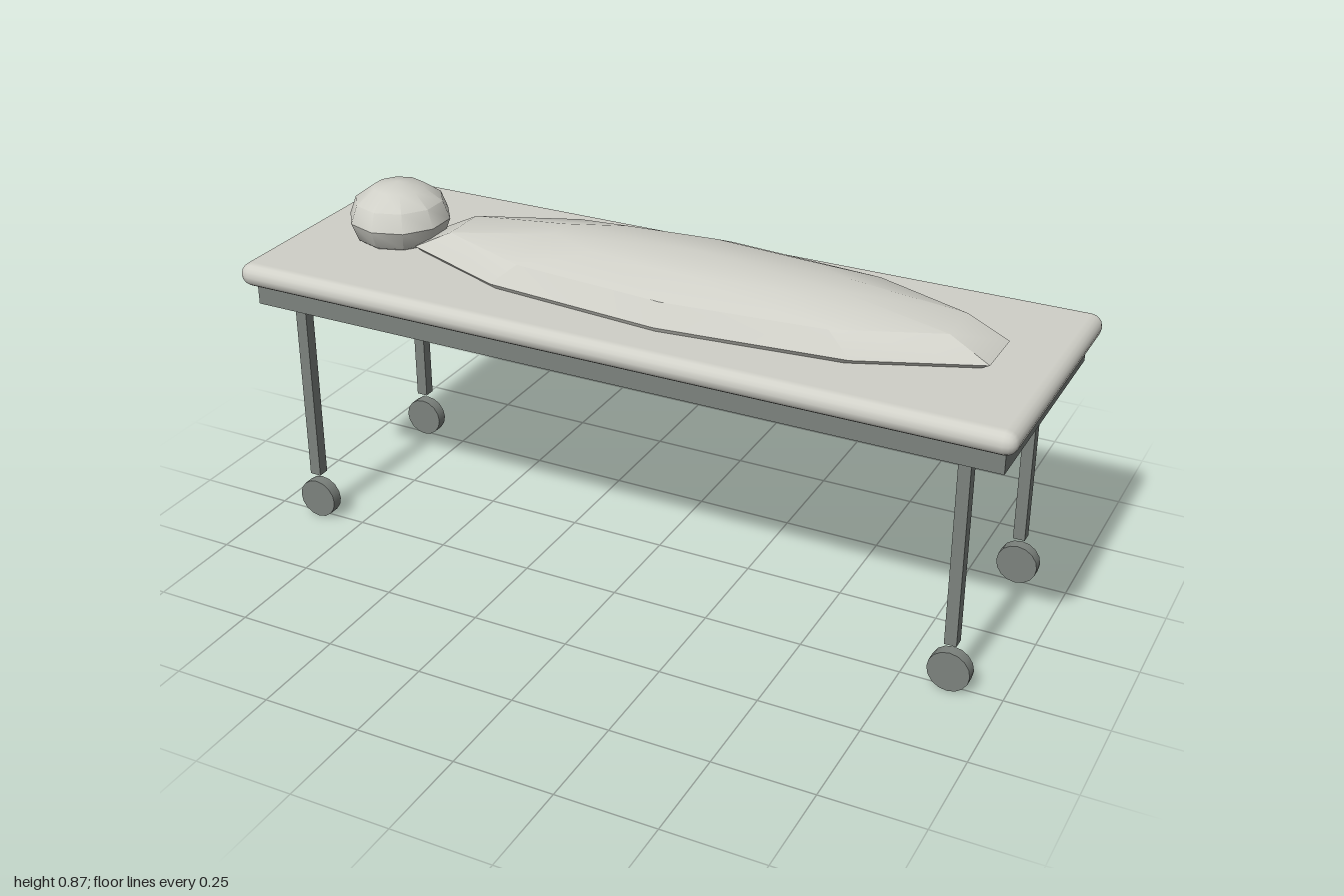
import * as THREE from 'three';
import { toCreasedNormals } from 'three/addons/utils/BufferGeometryUtils.js';
import { RoundedBoxGeometry } from 'three/addons/geometries/RoundedBoxGeometry.js';

export function createModel() {
  const model = new THREE.Group();
  model.name = 'trolleyWithCoveredFigure';

  const linen = new THREE.MeshStandardMaterial({ color: 0xd0d0c8 });
  linen.name = 'linen';
  const metal = new THREE.MeshStandardMaterial({ color: 0x7c827d });
  metal.name = 'grey metal';

  function add(name, geometry, material, x, y, z) {
    const mesh = new THREE.Mesh(geometry, material);
    mesh.name = name;
    mesh.position.set(x, y, z);
    model.add(mesh);
    return mesh;
  }

  // Coarse ellipsoid with upright pole and flat ends along x
  function ellipsoid(rx, ry, rz) {
    const g = new THREE.SphereGeometry(1, 10, 6);
    g.rotateY(Math.PI / 2);
    g.scale(rx, ry, rz);
    return toCreasedNormals(g, 0.6);
  }

  // Bed
  add('mattress', new RoundedBoxGeometry(2, 0.06, 0.692, 2, 0.03), linen, 0, 0.697, 0);
  add('frame', new THREE.BoxGeometry(1.94, 0.052, 0.612), metal, 0, 0.637, 0);

  // Covered figure lying on the bed
  add('body', ellipsoid(0.79, 0.105, 0.23), linen, 0.1, 0.738, 0);
  add('head', ellipsoid(0.131, 0.093, 0.131), linen, -0.74, 0.78, 0);

  // Legs and wheels
  const legGeometry = new THREE.BoxGeometry(0.03, 0.488, 0.03);
  const wheelGeometry = new THREE.CylinderGeometry(0.052, 0.052, 0.03, 16);
  wheelGeometry.rotateX(Math.PI / 2);
  for (const x of [-0.872, 0.872]) {
    for (const z of [-0.256, 0.256]) {
      const label = (z > 0 ? 'front' : 'back') + (x > 0 ? 'Left' : 'Right');
      add(label + 'Leg', legGeometry, metal, x, 0.369, z);
      add(label + 'Wheel', wheelGeometry, metal, x, 0.052, z);
    }
  }
  return model;
}
